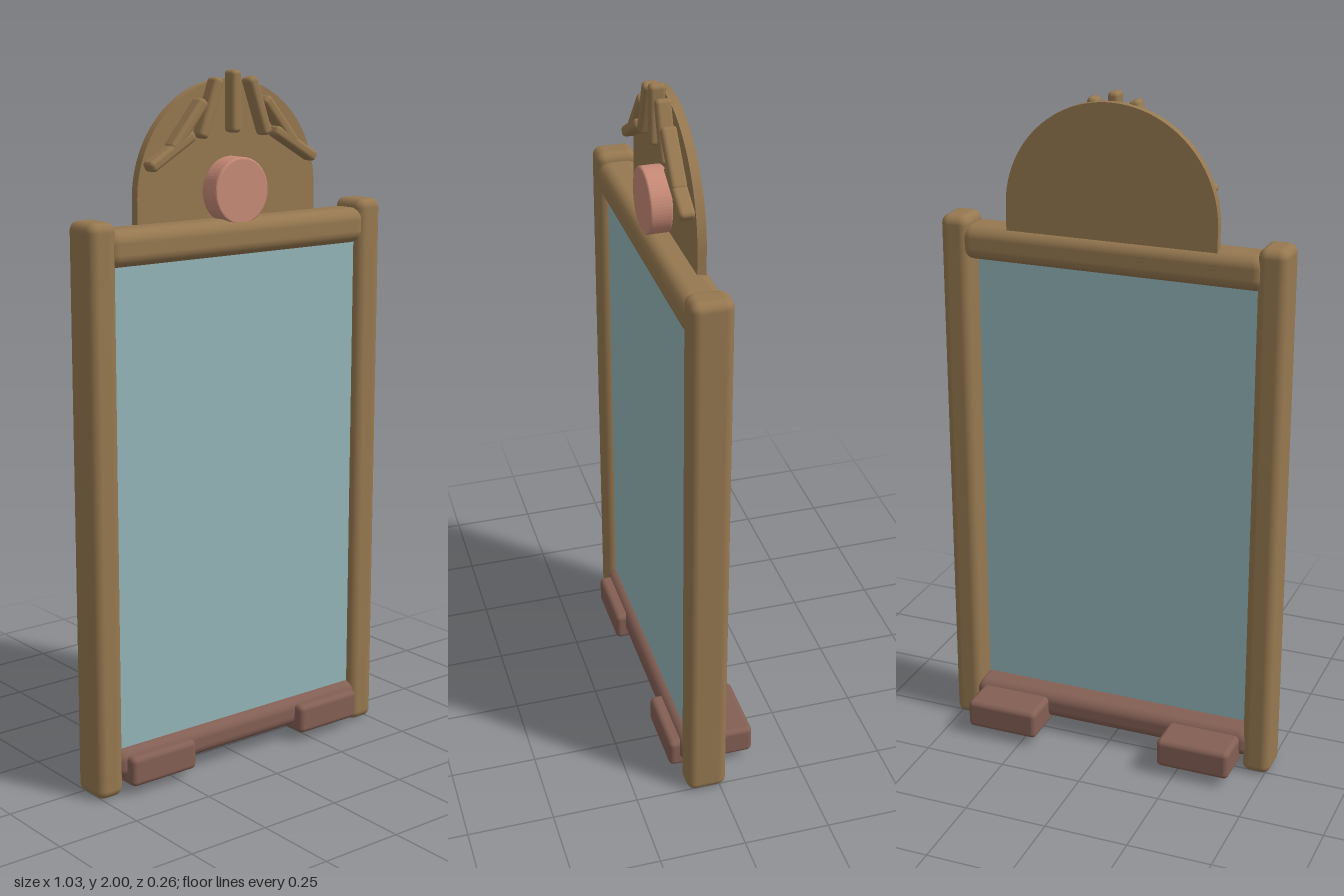
import * as THREE from 'three';
import { RoundedBoxGeometry } from 'three/addons/geometries/RoundedBoxGeometry.js';

const material = (name, color) => {
  const m = new THREE.MeshStandardMaterial({ color });
  m.name = name;
  return m;
};

export function createModel() {
  const group = new THREE.Group();
  const wood = material('wood', 0x967850);
  const darkWood = material('dark wood', 0x835f54);
  const glass = material('mirror glass', 0x94b5b8);
  const rose = material('rose', 0xc78a76);

  const add = (name, geometry, mat, x, y, z) => {
    const mesh = new THREE.Mesh(geometry, mat);
    mesh.name = name;
    mesh.position.set(x, y, z);
    group.add(mesh);
    return mesh;
  };
  const box = (w, h, d, r) => new RoundedBoxGeometry(w, h, d, 4, r);

  // Frame: two posts, two rails and the feet
  const midZ = 0.039, depth = 0.118;
  for (const side of [-1, 1]) {
    const label = side > 0 ? 'left' : 'right';
    add(label + 'Post', box(0.086, 1.62, depth, 0.026), wood, side * 0.472, 0.81, midZ);
    add(label + 'Foot', box(0.225, 0.088, 0.256, 0.016), darkWood, side * 0.309, 0.071, 0);
  }
  add('topRail', box(0.91, 0.102, depth, 0.036), wood, 0, 1.545, midZ);
  add('bottomRail', box(0.9, 0.086, depth, 0.032), darkWood, 0, 0.087, midZ);
  add('mirrorPanel', new THREE.BoxGeometry(0.88, 1.42, 0.016), glass, 0, 0.812, 0.062);

  // Arched crest board
  const arch = new THREE.Shape();
  arch.moveTo(-0.313, 1.57);
  arch.lineTo(0.313, 1.57);
  arch.lineTo(0.313, 1.663);
  arch.absarc(0, 1.663, 0.313, 0, Math.PI, false);
  arch.closePath();
  add('crestBoard', new THREE.ExtrudeGeometry(arch, { depth: 0.025, bevelEnabled: false, curveSegments: 40 }),
    wood, 0, 0, -0.002);

  // Rosette disc with a softened front rim
  const profile = [[0, -0.032], [0.093, -0.032], [0.093, 0.022], [0.09, 0.028], [0.084, 0.031], [0, 0.031]]
    .map(([r, y]) => new THREE.Vector2(r, y));
  const disc = new THREE.ExtrudeGeometry(
    new THREE.Shape().absarc(0, 0, 0.087, 0, Math.PI * 2, false),
    { depth: 0.052, bevelThickness: 0.006, bevelSize: 0.006, bevelSegments: 3, curveSegments: 32 });
  disc.translate(0, 0, profile[0].y + 0.006);
  add('rosette', disc, rose, 0, 1.672, 0.053);

  // Carved slats set around the arch
  for (let i = -3; i <= 3; i++) {
    const a = i * Math.PI / 9;
    const slat = add('crestSlat', box(0.032, 0.17, 0.046, 0.012), wood,
      0.25 * Math.sin(a), 1.665 + 0.25 * Math.cos(a), 0.041);
    slat.rotation.z = a;
  }
  return group;
}
